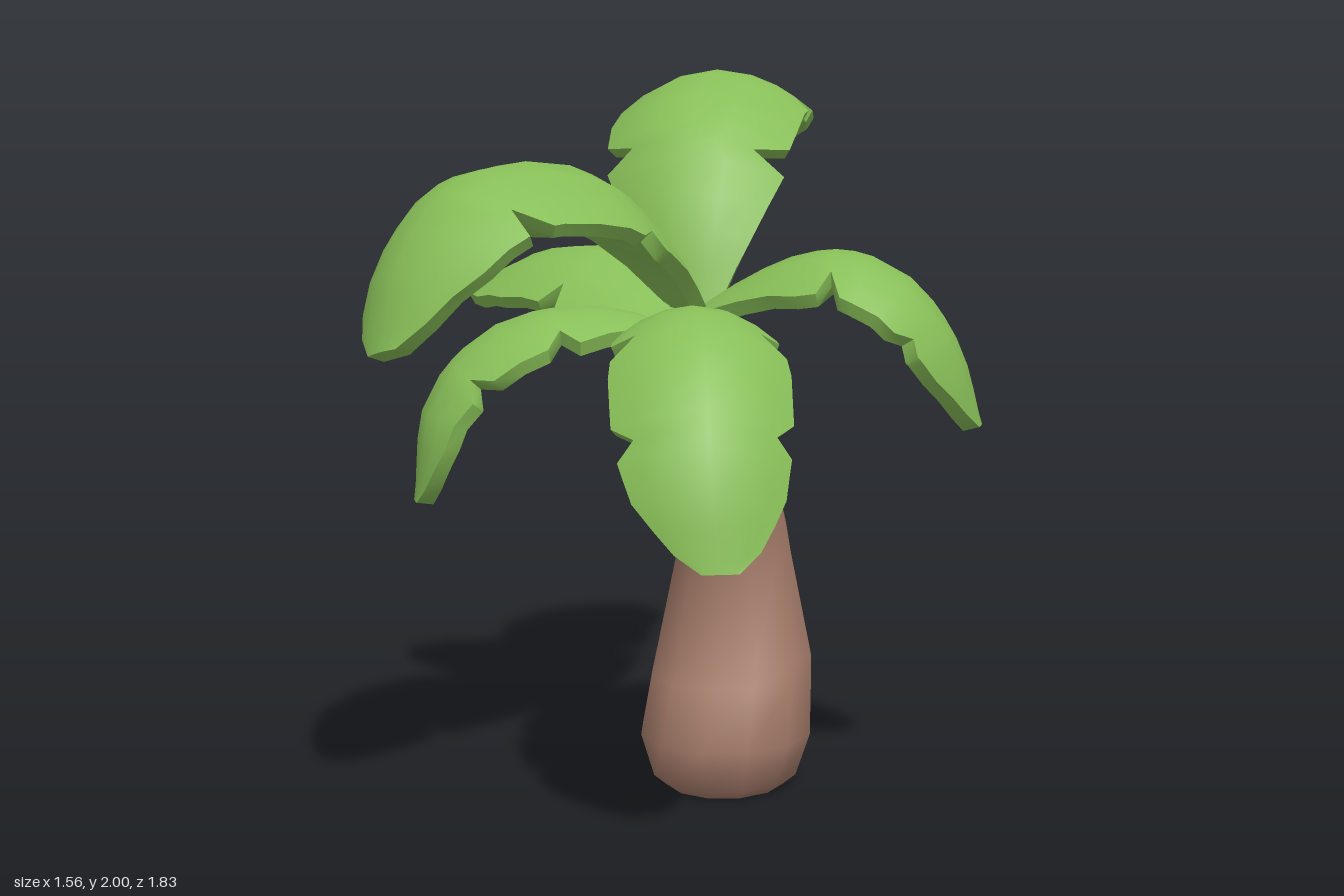
import * as THREE from 'three';
import { toCreasedNormals } from 'three/addons/utils/BufferGeometryUtils.js';

// Skin a list of equal-sized rings and close both ends
function loft(rings, crease) {
  const n = rings[0].length;
  const pos = [], idx = [];
  rings.forEach(r => r.forEach(p => pos.push(p.x, p.y, p.z)));
  for (let i = 0; i < rings.length - 1; i++) {
    for (let j = 0; j < n; j++) {
      const a = i * n + j, b = i * n + (j + 1) % n;
      idx.push(a, b, b + n, a, b + n, a + n);
    }
  }
  [0, rings.length - 1].forEach((k, end) => {
    const c = new THREE.Vector3();
    rings[k].forEach(p => c.addScaledVector(p, 1 / n));
    const ci = pos.length / 3;
    pos.push(c.x, c.y, c.z);
    for (let j = 0; j < n; j++) {
      const a = k * n + j, b = k * n + (j + 1) % n;
      if (end) idx.push(ci, a, b); else idx.push(ci, b, a);
    }
  });
  const g = new THREE.BufferGeometry();
  g.setAttribute('position', new THREE.Float32BufferAttribute(pos, 3));
  g.setIndex(idx);
  return toCreasedNormals(g, crease);
}

// Relative frond width from root to tip
const WIDTHS = [[0, 0.25], [0.15, 0.62], [0.3, 0.92], [0.5, 1], [0.7, 0.98], [0.85, 0.82], [0.95, 0.52], [1, 0.2]];
function widthAt(t) {
  for (let i = 1; i < WIDTHS.length; i++) {
    const [t0, w0] = WIDTHS[i - 1], [t1, w1] = WIDTHS[i];
    if (t <= t1) return THREE.MathUtils.lerp(w0, w1, (t - t0) / (t1 - t0));
  }
  return WIDTHS[WIDTHS.length - 1][1];
}

// Arched frond with a domed top, flat underside and notched edges; roll is [root, tip] sideways slope
function frondGeometry({ path, half, droop, roll = [0, 0], notches }) {
  const curve = new THREE.CatmullRomCurve3(path.map(p => new THREE.Vector3(...p)));
  const root = curve.getPoint(0), tip = curve.getPoint(1);
  const level = new THREE.Vector3(tip.z - root.z, 0, root.x - tip.x).normalize();

  const stations = [0, 0.08, 0.15, 0.23, 0.3, 0.4, 0.5, 0.6, 0.7, 0.78, 0.85, 0.91, 0.96, 1]
    .filter(t => notches.every(([tn]) => Math.abs(t - tn) > 0.06));
  notches.forEach(([tn]) => stations.push(tn - 0.045, tn, tn + 0.045));
  stations.sort((a, b) => a - b);

  const rings = stations.map(t => {
    const p = curve.getPointAt(t);
    const side = level.clone().setY(THREE.MathUtils.lerp(roll[0], roll[1], t)).normalize();
    const normal = curve.getTangentAt(t).cross(side).normalize();
    const notch = notches.find(([tn]) => Math.abs(t - tn) < 0.01);
    const width = widthAt(t) * (notch ? 1 - notch[1] : 1);
    const at = (u, h) => p.clone().addScaledVector(side, u * width * half).addScaledVector(normal, h);
    const floor = -0.045 - 0.9 * droop * width * width;
    return [
      ...[1, 0.75, 0.4, 0, -0.4, -0.75, -1].map(u => at(u, -droop * (u * width) ** 2)),
      ...[-0.93, -0.5, 0, 0.5, 0.93].map(u => at(u, floor)),
    ];
  });
  return loft(rings, 0.9);
}

// Trunk sections: height, centre x, centre z, radius x, radius z
const TRUNK = [
  [0, 0.045, -0.185, 0.17, 0.19],
  [0.03, 0.045, -0.185, 0.205, 0.23],
  [0.15, 0.045, -0.187, 0.245, 0.258],
  [0.31, 0.053, -0.22, 0.232, 0.235],
  [0.37, 0.055, -0.238, 0.225, 0.212],
  [0.64, 0.055, -0.235, 0.168, 0.177],
  [0.73, 0.05, -0.22, 0.16, 0.18],
  [1.0, 0.03, -0.135, 0.142, 0.148],
  [1.2, -0.03, -0.05, 0.11, 0.122],
  [1.3, -0.035, 0.0, 0.085, 0.09],
  [1.36, -0.005, 0.015, 0.045, 0.04],
];

// Each notch: position along the frond, depth relative to the width
const FRONDS = {
  backFrond: {
    path: [[0, 1.37, 0], [-0.03, 1.61, -0.06], [-0.06, 1.83, -0.19], [-0.07, 1.96, -0.36], [-0.07, 2.0, -0.53], [-0.06, 1.945, -0.73], [-0.05, 1.8, -0.92]],
    half: 0.27, droop: 0.12, notches: [[0.36, 0.33], [0.7, 0.2]],
  },
  frontRightUpperFrond: {
    path: [[0, 1.39, 0], [-0.1, 1.61, 0.14], [-0.2, 1.74, 0.3], [-0.31, 1.77, 0.47], [-0.43, 1.72, 0.65], [-0.51, 1.55, 0.79], [-0.53, 1.33, 0.88]],
    half: 0.29, droop: 0.13, roll: [-0.35, 0.25], notches: [[0.3, 0.15], [0.68, 0.28]],
  },
  backRightFrond: {
    path: [[0, 1.33, 0.01], [-0.2, 1.44, -0.14], [-0.38, 1.5, -0.27], [-0.56, 1.48, -0.36], [-0.76, 1.38, -0.42]],
    half: 0.23, droop: 0.1, roll: [-0.15, -0.15], notches: [[0.45, 0.28]],
  },
  frontRightLowerFrond: {
    path: [[0, 1.29, 0.02], [-0.15, 1.36, 0.07], [-0.32, 1.375, 0.15], [-0.5, 1.32, 0.22], [-0.65, 1.14, 0.3], [-0.67, 0.87, 0.35]],
    half: 0.2, droop: 0.09, notches: [[0.36, 0.25], [0.64, 0.25]],
  },
  leftFrond: {
    path: [[-0.02, 1.34, 0.01], [0.13, 1.44, 0.01], [0.29, 1.515, 0.01], [0.44, 1.53, 0.02], [0.6, 1.46, 0.02], [0.72, 1.29, -0.01], [0.775, 1.07, -0.07]],
    half: 0.2, droop: 0.11, notches: [[0.41, 0.32], [0.72, 0.12]],
  },
  frontLeftFrond: {
    path: [[-0.03, 1.31, 0.02], [0.04, 1.38, 0.18], [0.1, 1.405, 0.34], [0.16, 1.36, 0.49], [0.21, 1.22, 0.63], [0.25, 1.02, 0.73], [0.28, 0.81, 0.76]],
    half: 0.23, droop: 0.11, notches: [[0.38, 0.28], [0.7, 0.22]],
  },
};

export function createModel() {
  const bark = new THREE.MeshStandardMaterial({ color: 0xa47b69 });
  bark.name = 'bark brown';
  const leaf = new THREE.MeshStandardMaterial({ color: 0x88bf58 });
  leaf.name = 'leaf green';

  const model = new THREE.Group();
  model.name = 'palmTree';
  const add = (name, geometry, material) => {
    const mesh = new THREE.Mesh(geometry, material);
    mesh.name = name;
    model.add(mesh);
  };

  // Leaning trunk
  const sides = 12;
  const trunkRings = TRUNK.map(([y, cx, cz, rx, rz]) =>
    Array.from({ length: sides }, (_, i) => {
      const a = (i / sides) * Math.PI * 2;
      return new THREE.Vector3(cx + rx * Math.cos(a), y, cz - rz * Math.sin(a));
    }));
  add('trunk', loft(trunkRings, 1.0), bark);

  // Crown of fronds
  for (const [name, spec] of Object.entries(FRONDS)) add(name, frondGeometry(spec), leaf);

  return model;
}
